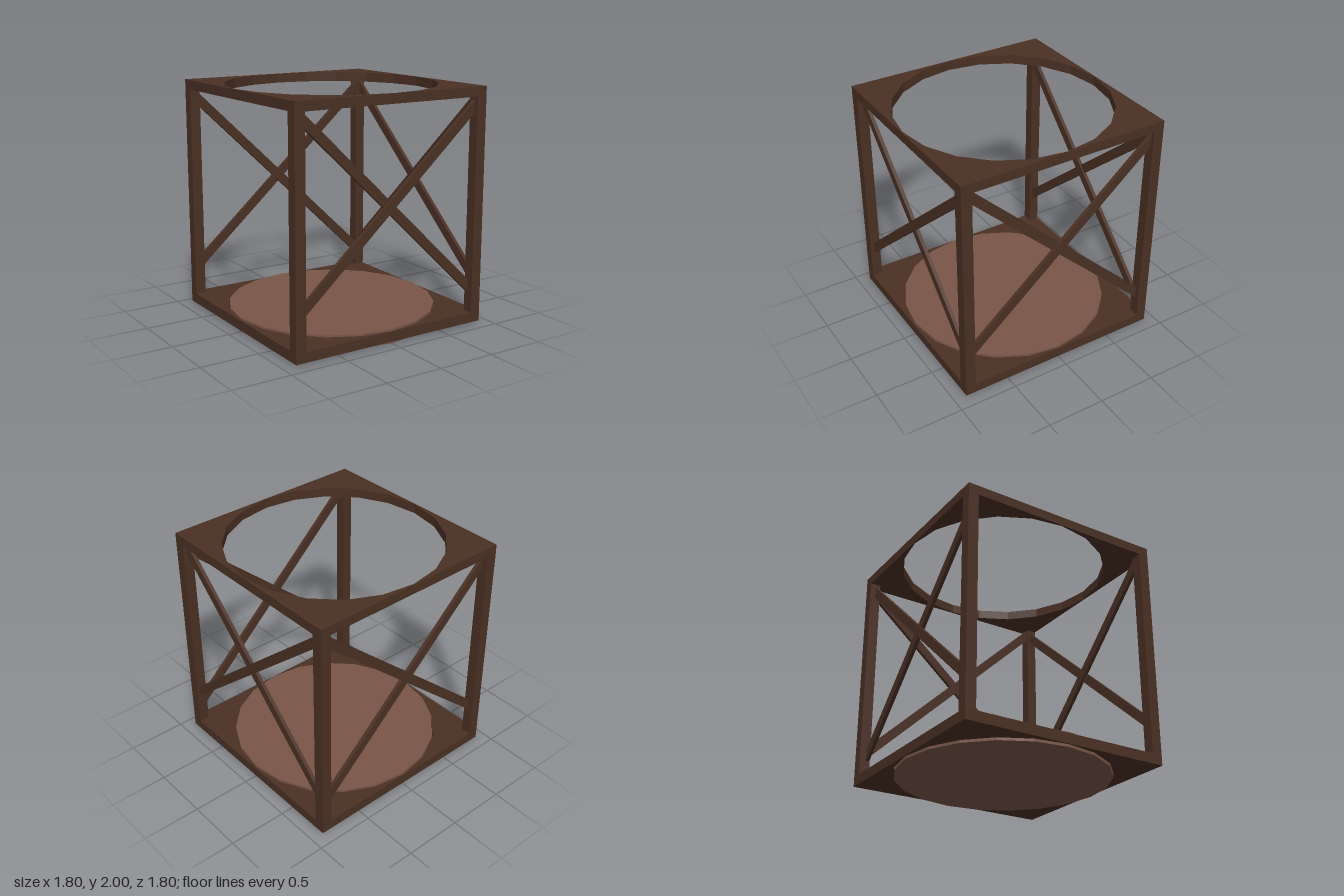
import * as THREE from 'three';

const HALF = 0.9, POST = 0.09, HOLE = 0.89, SIDES = 20;
const wood = new THREE.MeshStandardMaterial({ color: 0x4a3024, flatShading: true });
const plate = new THREE.MeshStandardMaterial({ color: 0x795548, flatShading: true });

function addMesh(parent, name, geometry, material = wood) {
  const mesh = new THREE.Mesh(geometry, material);
  mesh.name = name;
  parent.add(mesh);
  return mesh;
}

// Square slab with a twenty-sided opening, lying flat from y0 to y1
function slab(y0, y1) {
  const shape = new THREE.Shape([[-1, -1], [1, -1], [1, 1], [-1, 1]]
    .map(([x, y]) => new THREE.Vector2(x * HALF, y * HALF)));
  const ring = [];
  for (let i = 0; i < SIDES; i++) {
    const a = -i / SIDES * Math.PI * 2;
    ring.push(new THREE.Vector2(HOLE * Math.cos(a), HOLE * Math.sin(a)));
  }
  shape.holes.push(new THREE.Path(ring));
  return new THREE.ExtrudeGeometry(shape, { depth: y1 - y0, bevelEnabled: false })
    .rotateX(-Math.PI / 2).translate(0, y0, 0);
}

// Flat bar running between the posts from height yA (left end) to yB (right end)
function brace(parent, name, yA, yB, z) {
  const span = 2 * (HALF - POST) + 0.07, rise = yB - yA;
  const slope = Math.atan2(rise, 2 * (HALF - POST));
  const bar = addMesh(parent, name, new THREE.BoxGeometry(span / Math.cos(slope), 0.078, 0.03));
  bar.position.set(0, (yA + yB) / 2, z);
  bar.rotation.z = slope;
}

export function createModel() {
  const model = new THREE.Group();
  model.name = 'openCrate';

  // Top and bottom frames
  addMesh(model, 'topFrame', slab(1.92, 2));
  addMesh(model, 'bottomFrame', slab(0.02, 0.105));

  // Round base plate filling the lower opening
  const disc = new THREE.CylinderGeometry(0.885, 0.885, 0.12, SIDES);
  disc.rotateY(Math.PI / 2).translate(0, 0.06, 0);
  addMesh(model, 'basePlate', disc, plate);

  // Corner posts
  const c = HALF - POST / 2;
  for (const x of [-c, c]) for (const z of [-c, c]) {
    const post = addMesh(model, 'cornerPost', new THREE.BoxGeometry(POST, 1.815, POST));
    post.position.set(x, 0.105 + 1.815 / 2, z);
  }

  // Crossed braces on the front, back and +x sides; the -x side stays open
  const panels = [
    { name: 'frontBraces', turn: 0, falling: [1.865, 0.33, 0.835], rising: [0.41, 1.835, 0.85] },
    { name: 'sideBraces', turn: Math.PI / 2, falling: [1.865, 0.33, 0.845], rising: [0.435, 1.84, 0.86] },
    { name: 'backBraces', turn: 0, falling: [1.825, 0.285, -0.83], rising: [0.41, 1.835, -0.84] },
  ];
  for (const p of panels) {
    const panel = new THREE.Group();
    panel.name = p.name;
    panel.rotation.y = p.turn;
    brace(panel, 'fallingBrace', ...p.falling);
    brace(panel, 'risingBrace', ...p.rising);
    model.add(panel);
  }
  return model;
}
